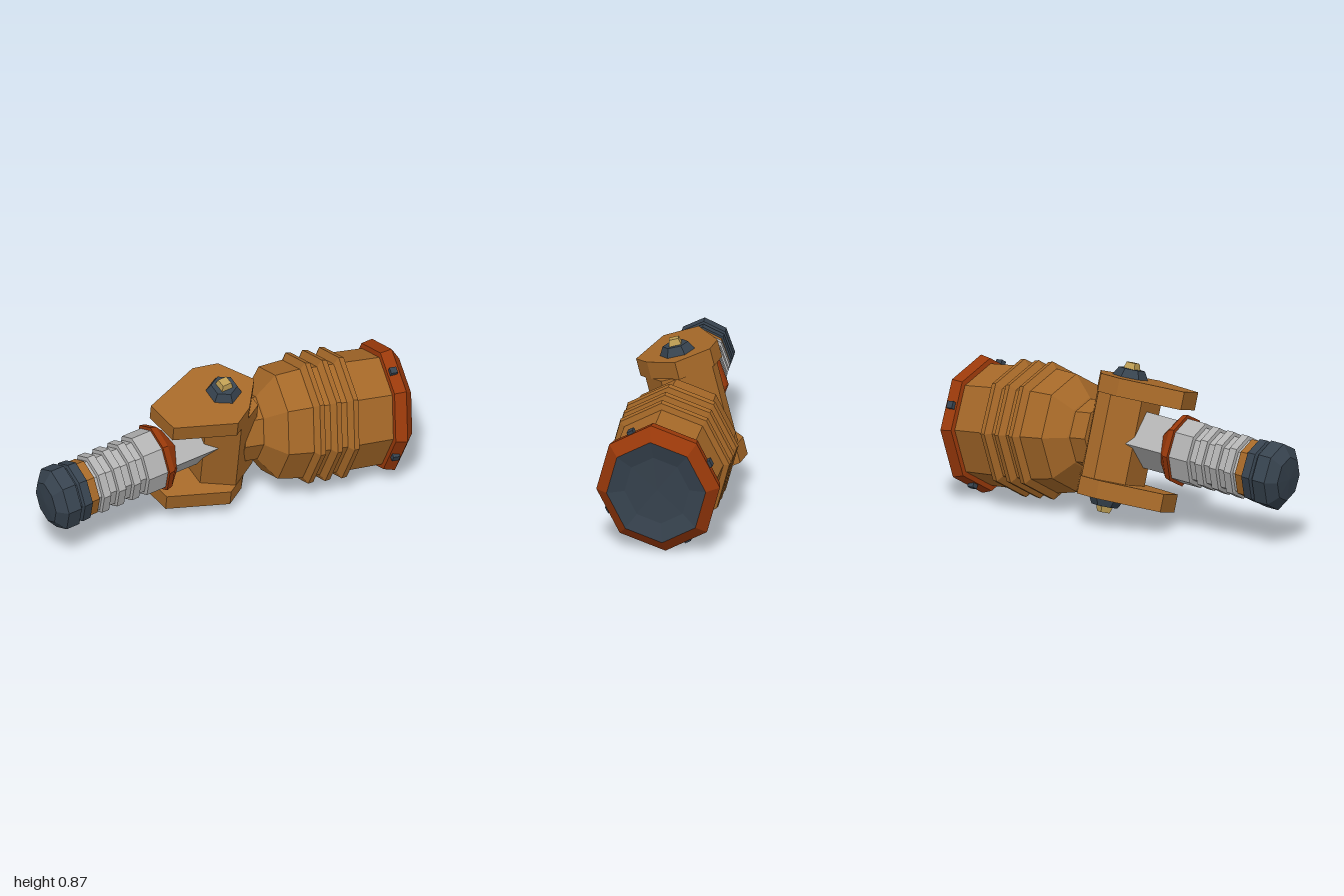
import * as THREE from 'three';

const mat = (name, color) => {
  const m = new THREE.MeshStandardMaterial({ color, flatShading: true });
  m.name = name;
  return m;
};

export function createModel() {
  const brown = mat('brown', 0xa56828);
  const steel = mat('steel', 0xb2b2b2);
  const slate = mat('slate', 0x37434f);
  const rust = mat('rust', 0x9a390a);
  const brass = mat('brass', 0xbf9f54);
  const model = new THREE.Group();
  model.name = 'hingedTool';

  const add = (parent, name, geo, material) => {
    const mesh = new THREE.Mesh(geo, material);
    mesh.name = name;
    parent.add(mesh);
    return mesh;
  };

  // Group whose local y runs along an axis and local z points up
  const axisGroup = (name, origin, dir, up, sideScale) => {
    const g = new THREE.Group();
    g.name = name;
    const y = new THREE.Vector3(...dir).normalize();
    const x = new THREE.Vector3().crossVectors(y, new THREE.Vector3(...up)).normalize();
    const z = new THREE.Vector3().crossVectors(x, y);
    g.quaternion.setFromRotationMatrix(new THREE.Matrix4().makeBasis(x, y, z));
    g.position.set(...origin);
    g.scale.x = sideScale;
    model.add(g);
    return g;
  };

  // Faceted turned part from [distance, radius] pairs
  const turned = (parent, name, profile, material, sides = 8) => {
    const pts = profile.map(([s, r]) => new THREE.Vector2(r, s));
    const geo = new THREE.LatheGeometry(pts, sides).toNonIndexed();
    geo.computeVertexNormals();
    return add(parent, name, geo, material);
  };

  // Large head, rolled slightly with the hinge
  const head = axisGroup('head', [-0.11, 0.47, 0], [0.62, -0.09, -0.78], [0.07, 1, 0.056], 0.91);
  const body = [[0.1, 0], [0.1, 0.195], [0.21, 0.195], [0.215, 0.205], [0.31, 0.325], [0.45, 0.342]];
  for (const s of [0.49, 0.59, 0.69]) body.push([s - 0.035, 0.34], [s - 0.01, 0.38], [s + 0.02, 0.375], [s + 0.03, 0.34]);
  body.push([0.94, 0.335], [0.94, 0]);
  turned(head, 'headBody', body, brown);
  turned(head, 'headRim', [[0.925, 0.32], [0.93, 0.365], [0.995, 0.38], [1.05, 0.305]], rust);
  turned(head, 'headFace', [[1.05, 0.305], [1.025, 0.2], [1.02, 0]], slate);
  for (let i = 0; i < 4; i++) {
    const a = THREE.MathUtils.degToRad(67.5 + i * 90);
    const stud = add(head, 'rimStud', new THREE.BoxGeometry(0.04, 0.04, 0.04), slate);
    stud.position.set(Math.cos(a) * 0.345, 0.96, Math.sin(a) * 0.345);
    stud.rotation.y = -a;
  }

  // Slim handle with a square stub entering the hinge
  const handle = axisGroup('handle', [-0.12, 0.48, 0.06], [-0.52, -0.093, 0.85], [0, 1, 0], 0.88);
  turned(handle, 'handleStub', [[-0.05, 0], [-0.05, 0.16], [0.36, 0.16]], steel, 4);
  turned(handle, 'handleCollar', [[0.25, 0.11], [0.32, 0.195], [0.355, 0.205], [0.36, 0.15]], rust);
  const grip = [[0.355, 0.15], [0.355, 0.185], [0.475, 0.185], [0.48, 0.16]];
  for (const s of [0.545, 0.64, 0.735]) grip.push([s - 0.027, 0.158], [s - 0.022, 0.18], [s + 0.022, 0.18], [s + 0.027, 0.158]);
  grip.push([0.79, 0.155]);
  turned(handle, 'handleGrip', grip, steel);
  turned(handle, 'handleBand', [[0.78, 0.14], [0.78, 0.168], [0.84, 0.168]], brown);
  turned(handle, 'handleRing', [[0.83, 0.15], [0.83, 0.18], [0.88, 0.183], [0.89, 0.165], [0.91, 0.165]], slate);
  turned(handle, 'handleCap', [[0.9, 0.16], [0.905, 0.19], [0.985, 0.19], [1.035, 0.125], [1.042, 0]], slate);

  // Hinge bracket: outlines are [x, z], stacked along the tilted pin
  const centre = [-0.095, 0.465, -0.01];
  const pin = new THREE.Vector3(0.179, 0.966, 0.19).normalize();
  const hingeMatrix = new THREE.Matrix4().makeBasis(
    new THREE.Vector3(1, -pin.x / pin.y, 0), new THREE.Vector3(0, pin.z / pin.y, -1), pin);
  hingeMatrix.setPosition(...centre);
  const slab = (name, outline, from, to) => {
    const shape = new THREE.Shape(outline.map(([x, z]) => new THREE.Vector2(x, -z)));
    const geo = new THREE.ExtrudeGeometry(shape, { depth: to - from, bevelEnabled: false });
    geo.translate(0, 0, from).applyMatrix4(hingeMatrix);
    geo.computeVertexNormals();
    add(model, name, geo, brown);
  };
  const plate = [[-0.286, 0.305], [-0.106, 0.375], [0.174, 0.155], [0.174, 0.025], [0.1, -0.165], [-0.12, -0.155], [-0.22, -0.05]];
  slab('upperHingePlate', plate, 0.235, 0.335);
  slab('lowerHingePlate', plate, -0.335, -0.235);
  slab('hingeBlock', [[0, 0.19], [0.172, 0.1], [0.172, -0.09], [0.05, -0.16], [-0.11, -0.15], [-0.172, -0.08], [-0.172, 0.09]], -0.24, 0.24);

  // Nut and square pin end on both sides
  for (const side of [1, -1]) {
    const g = axisGroup(side > 0 ? 'upperPin' : 'lowerPin', centre, pin.clone().multiplyScalar(side).toArray(), [0, 0, 1], 1);
    add(g, 'nut', new THREE.CylinderGeometry(0.072, 0.1, 0.05, 6), slate).position.y = 0.357;
    const end = add(g, 'pinEnd', new THREE.CylinderGeometry(0.037, 0.052, 0.045, 4), brass);
    end.position.y = 0.394;
    end.rotation.y = 0.3;
  }
  return model;
}
